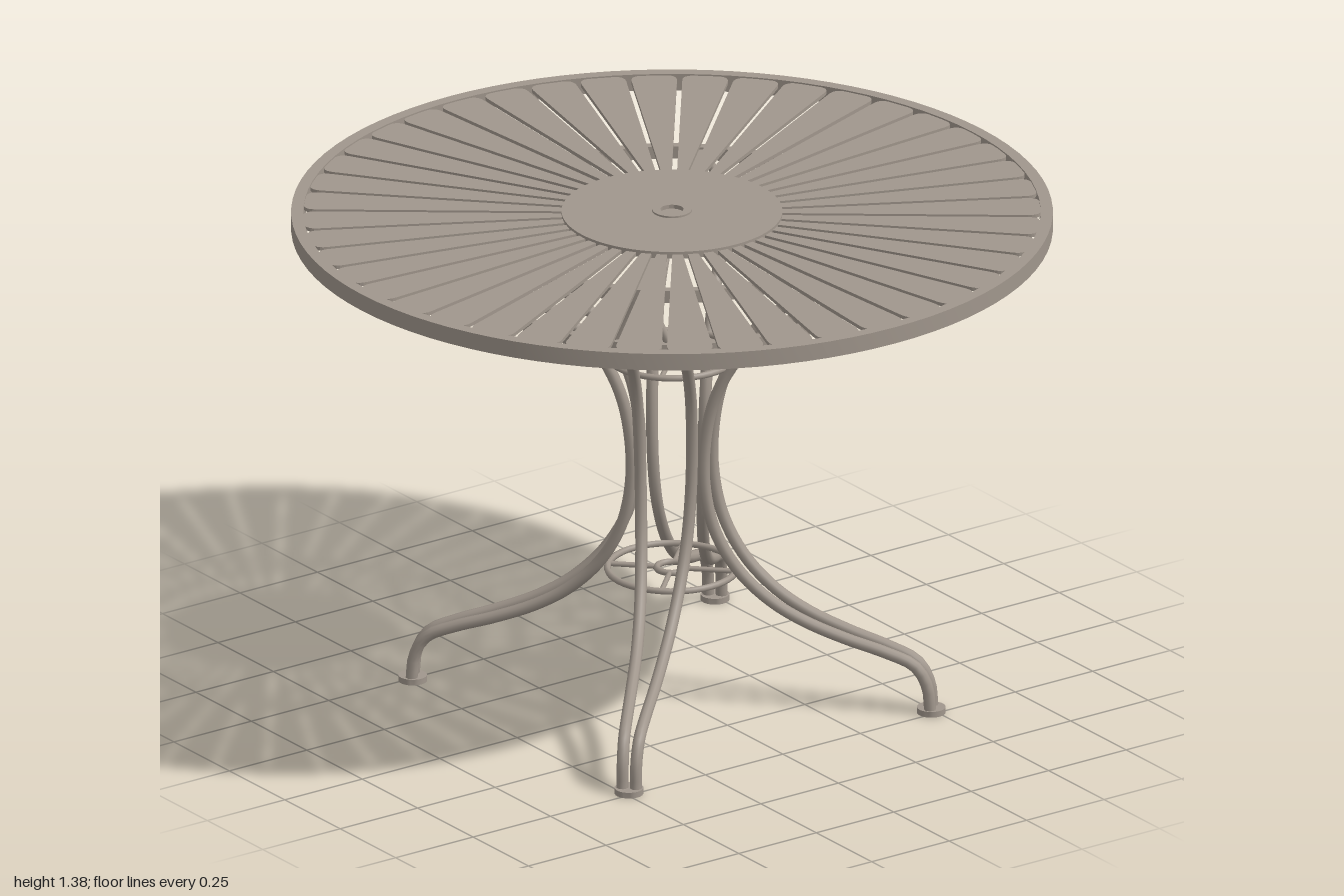
import * as THREE from 'three';
import { toCreasedNormals } from 'three/addons/utils/BufferGeometryUtils.js';

const metal = new THREE.MeshStandardMaterial({ color: 0xa0968c });
metal.name = 'taupe metal';

const SLATS = 44;

function add(parent, name, geometry) {
  const mesh = new THREE.Mesh(geometry, metal);
  mesh.name = name;
  parent.add(mesh);
  return mesh;
}

// Flat ring with a rectangular section
function band(inner, outer, bottom, top) {
  const section = [[inner, bottom], [outer, bottom], [outer, top], [inner, top], [inner, bottom]];
  const lathe = new THREE.LatheGeometry(section.map(([x, y]) => new THREE.Vector2(x, y)), 96);
  return toCreasedNormals(lathe, 0.6);
}

// Round bar through a list of points
function bar(points, radius, segments) {
  const path = new THREE.CatmullRomCurve3(points.map((p) => new THREE.Vector3(...p)));
  return new THREE.TubeGeometry(path, segments, radius, 10);
}

function wire(radius, thickness, y) {
  return new THREE.TorusGeometry(radius, thickness, 8, 48).rotateX(Math.PI / 2).translate(0, y, 0);
}

// Tapered slat with rounded outer corners, pointing along +x
function slatGeometry() {
  const half = (r) => r * Math.tan(Math.PI / SLATS) - 0.007;
  const r0 = 0.275, r1 = 0.968, c = 0.035;
  const s = new THREE.Shape();
  s.moveTo(r0, -half(r0));
  s.lineTo(r1 - c, -half(r1 - c));
  s.quadraticCurveTo(r1, -half(r1), r1, -half(r1) + c);
  s.lineTo(r1, half(r1) - c);
  s.quadraticCurveTo(r1, half(r1), r1 - c, half(r1 - c));
  s.lineTo(r0, half(r0));
  s.closePath();
  return new THREE.ExtrudeGeometry(s, { depth: 0.01, bevelEnabled: false, curveSegments: 6 })
    .rotateX(-Math.PI / 2).translate(0, 1.357, 0);
}

function createTop() {
  const top = new THREE.Group();
  top.name = 'tableTop';
  add(top, 'rim', band(0.968, 1, 1.325, 1.371));
  const slat = slatGeometry();
  for (let i = 0; i < SLATS; i++) {
    add(top, 'slat', slat).rotation.y = (i / SLATS) * Math.PI * 2;
  }
  add(top, 'centreDisc', band(0.03, 0.29, 1.355, 1.374));
  add(top, 'centreCollar', band(0.03, 0.052, 1.34, 1.379));
  add(top, 'centrePlug', new THREE.CylinderGeometry(0.03, 0.03, 0.012, 24).translate(0, 1.362, 0));
  return top;
}

// One leg along +x: twin bars, a foot and the struts above
function createLeg() {
  const leg = new THREE.Group();
  leg.name = 'leg';
  // radius from the centre, height, half the gap between the twin bars
  const profile = [
    [0.69, 0.01, 0.018], [0.682, 0.08, 0.018], [0.65, 0.135, 0.02], [0.575, 0.17, 0.024],
    [0.47, 0.205, 0.03], [0.36, 0.25, 0.036], [0.27, 0.305, 0.043], [0.185, 0.39, 0.052],
    [0.125, 0.5, 0.061], [0.098, 0.63, 0.067], [0.102, 0.77, 0.07], [0.13, 0.89, 0.072],
    [0.19, 1.0, 0.073], [0.285, 1.09, 0.074], [0.39, 1.14, 0.075], [0.455, 1.158, 0.075],
    [0.5, 1.178, 0.075],
  ];
  for (const side of [-1, 1]) {
    add(leg, 'legBar', bar(profile.map(([r, y, t]) => [r, y, side * t]), 0.016, 64));
    add(leg, 'strut', bar([[0.49, 1.19, side * 0.078], [0.5, 1.335, side * 0.008]], 0.012, 1));
  }
  add(leg, 'foot', toCreasedNormals(
    new THREE.CylinderGeometry(0.038, 0.038, 0.016, 24).translate(0.69, 0.008, 0), 0.6));
  return leg;
}

export function createModel() {
  const table = new THREE.Group();
  table.name = 'gardenTable';
  table.add(createTop());

  // Support rings beneath the top
  add(table, 'upperSupportRing', band(0.495, 0.52, 1.322, 1.356));
  add(table, 'lowerSupportRing', band(0.495, 0.52, 1.174, 1.204));

  // Four legs on the diagonals
  for (let i = 0; i < 4; i++) {
    const leg = createLeg();
    leg.rotation.y = Math.PI / 4 + (i * Math.PI) / 2;
    table.add(leg);
  }

  // Cross bars holding up the top
  for (const angle of [Math.PI / 4, -Math.PI / 4]) {
    add(table, 'crossBar', new THREE.BoxGeometry(1.0, 0.02, 0.025).translate(0, 1.34, 0))
      .rotation.y = angle;
  }
  add(table, 'topHub', band(0.022, 0.036, 1.318, 1.356));

  // Bracing rings with spokes between the legs
  for (const y of [0.365, 0.968]) {
    add(table, 'braceRing', wire(0.17, 0.009, y));
    add(table, 'braceHub', wire(0.04, 0.009, y));
    for (let i = 0; i < 4; i++) {
      add(table, 'braceSpoke', bar([[0.04, y, 0], [0.17, y, 0]], 0.007, 1))
        .rotation.y = Math.PI / 4 + (i * Math.PI) / 2;
    }
  }
  return table;
}
